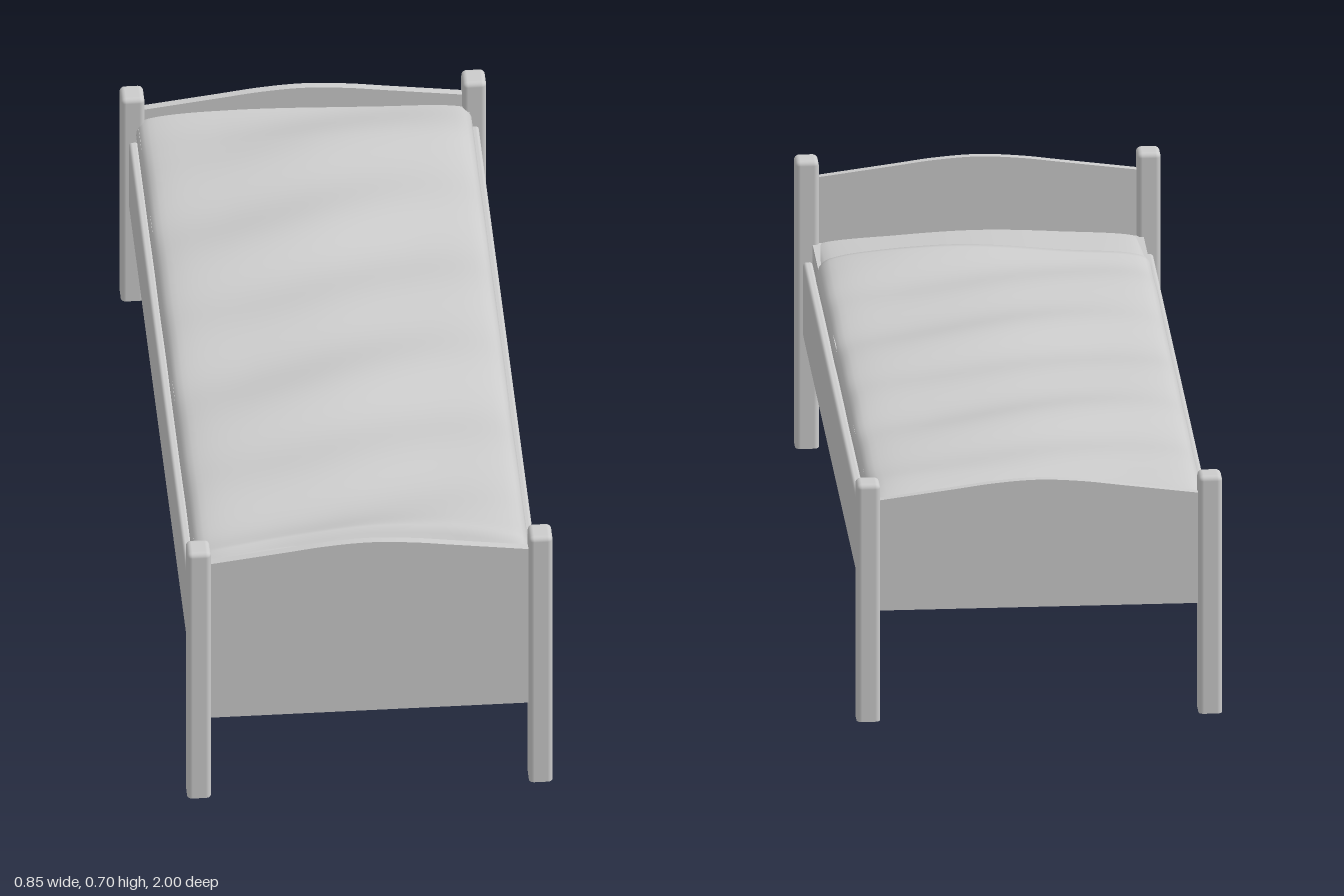
import * as THREE from 'three';
import { RoundedBoxGeometry } from 'three/addons/geometries/RoundedBoxGeometry.js';

const grey = new THREE.MeshStandardMaterial({ color: 0xcccccc });
const cloth = new THREE.MeshStandardMaterial({ color: 0xcccccc, side: THREE.DoubleSide });

function add(parent, name, geometry, material = grey) {
  const mesh = new THREE.Mesh(geometry, material);
  mesh.name = name;
  parent.add(mesh);
  return mesh;
}

// Square post with softened edges and a flat foot
function postGeometry(height) {
  const r = 0.012;
  const geo = new RoundedBoxGeometry(0.055, height + r, 0.062, 3, r);
  geo.translate(0, (height - r) / 2, 0);
  const p = geo.attributes.position;
  for (let i = 0; i < p.count; i++) p.setY(i, Math.max(0, p.getY(i)));
  return geo;
}

// Panel with a gently arched top edge
function panelGeometry(bottom, top) {
  const arch = [[0.375, -0.042], [0.2, -0.019], [0.1, -0.006], [0, 0], [-0.1, -0.006], [-0.2, -0.019], [-0.375, -0.042]];
  const shape = new THREE.Shape();
  shape.moveTo(-0.375, bottom);
  shape.lineTo(0.375, bottom);
  shape.lineTo(0.375, top - 0.042);
  shape.splineThru(arch.slice(1).map(([x, y]) => new THREE.Vector2(x, top + y)));
  shape.closePath();
  const geo = new THREE.ExtrudeGeometry(shape, { depth: 0.018, bevelEnabled: false, curveSegments: 32 });
  return geo.translate(0, 0, -0.009);
}

// Half cross-section of the bedding, mirrored into a full curve
const half = [[0.384, 0.452], [0.39, 0.475], [0.387, 0.5], [0.374, 0.516], [0.34, 0.526], [0.2, 0.54]];
const section = new THREE.CatmullRomCurve3([
  ...half.map(([x, y]) => new THREE.Vector3(-x, y, 0)),
  new THREE.Vector3(0, 0.549, 0),
  ...half.slice().reverse().map(([x, y]) => new THREE.Vector3(x, y, 0)),
]);

// Sweeps the cross-section along z; place(point, t) shapes each vertex
function sweep(nx, nz, place) {
  const geo = new THREE.PlaneGeometry(1, 1, nx, nz);
  const p = geo.attributes.position;
  const points = section.getSpacedPoints(nx);
  for (let j = 0; j <= nz; j++) {
    for (let i = 0; i <= nx; i++) {
      const v = points[i].clone();
      place(v, j / nz);
      p.setXYZ(j * (nx + 1) + i, v.x, v.y, v.z);
    }
  }
  geo.computeVertexNormals();
  return geo;
}

// Blanket: soft ripples, sloping at the foot, with a turned-down head edge
function blanketPoint(v, t) {
  const edge = 0.768 - 0.018 * Math.exp(-((v.x / 0.12) ** 2)) + 0.006 * Math.cos(v.x * 18);
  const z = -0.95 + t * (edge + 0.95);
  const weight = THREE.MathUtils.clamp((v.y - 0.46) / 0.08, 0, 1);
  const ripple = 0.006 * Math.cos(20.3 * (z - 0.155) + 1.5 * Math.sin(5 * v.x))
    + 0.004 * Math.sin(9 * z + 7 * v.x);
  const foot = -0.014 * THREE.MathUtils.smoothstep(-z, 0.8, 0.95);
  const ridge = 0.009 * Math.exp(-(((z - edge + 0.02) / 0.05) ** 2));
  const drop = -0.025 * THREE.MathUtils.smoothstep(t, 0.985, 1);
  v.y += weight * (ripple + foot + ridge + drop) + (1 - weight) * 0.003 * Math.cos(13 * z);
  v.z = z;
}

// Sheet under the blanket, falling away towards the headboard
function sheetPoint(v, t) {
  const weight = THREE.MathUtils.clamp((v.y - 0.46) / 0.08, 0, 1);
  v.z = 0.7 + t * 0.25;
  v.x *= 0.99;
  v.y -= weight * (0.008 + 0.018 * t);
}

export function createModel() {
  const bed = new THREE.Group();
  bed.name = 'bed';

  // Headboard at +z, lower footboard at -z
  const ends = [
    { name: 'head', z: 0.968, post: 0.705, bottom: 0.215, top: 0.7 },
    { name: 'foot', z: -0.968, post: 0.582, bottom: 0.265, top: 0.577 },
  ];
  for (const e of ends) {
    add(bed, e.name + 'board', panelGeometry(e.bottom, e.top)).position.z = e.z;
    for (const s of [-1, 1]) {
      add(bed, e.name + (s > 0 ? 'PostLeft' : 'PostRight'), postGeometry(e.post)).position.set(s * 0.3975, 0, e.z);
    }
  }

  // Side rails with softened edges
  for (const s of [-1, 1]) {
    const rail = add(bed, s > 0 ? 'railLeft' : 'railRight', new RoundedBoxGeometry(0.022, 0.188, 1.9, 3, 0.008));
    rail.position.set(s * 0.396, 0.364, 0);
  }

  // Mattress base and bedding
  add(bed, 'mattress', new THREE.BoxGeometry(0.77, 0.19, 1.9)).position.y = 0.405;
  add(bed, 'sheet', sweep(48, 10, sheetPoint), cloth);
  add(bed, 'blanket', sweep(64, 140, blanketPoint), cloth);

  return bed;
}
